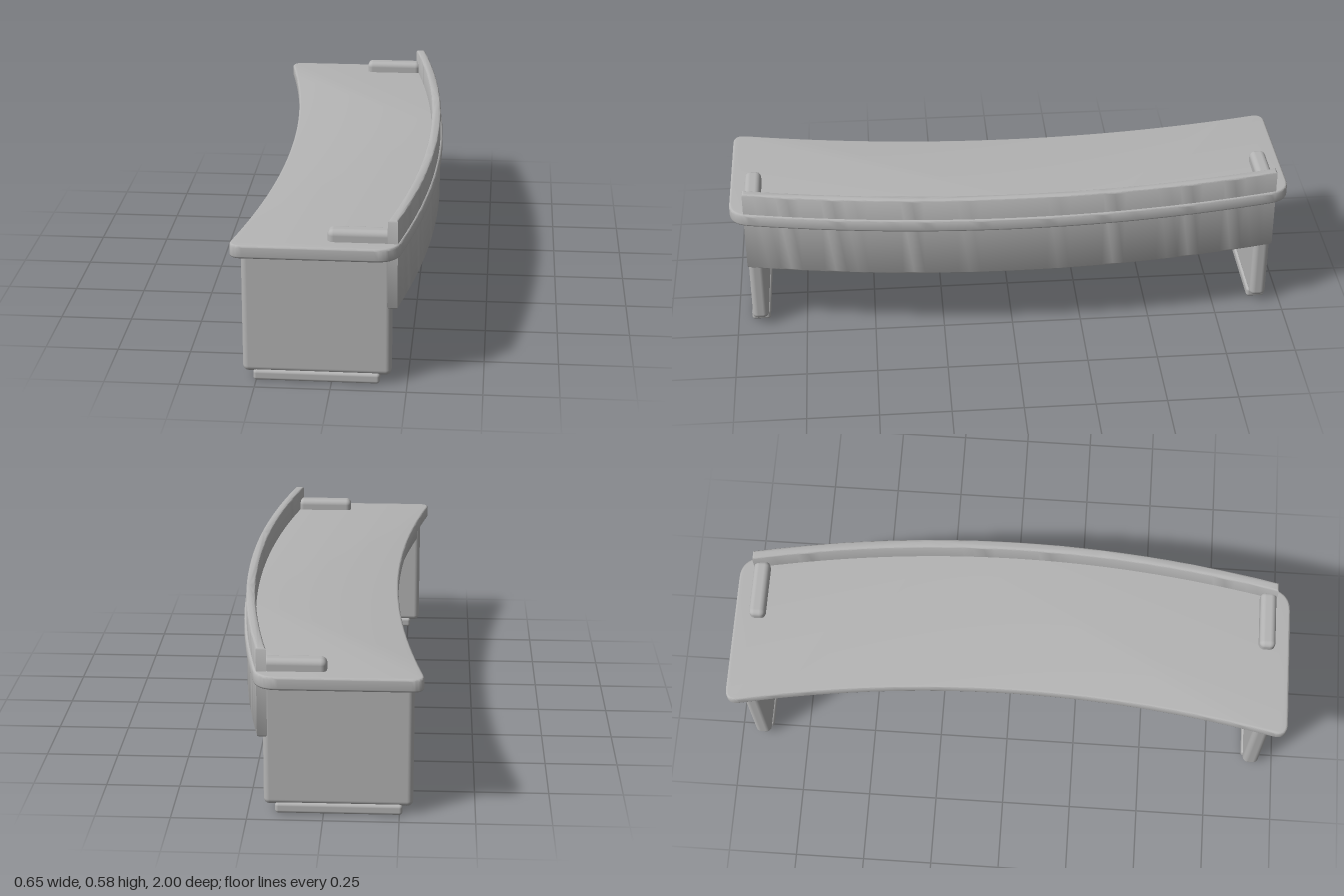
import * as THREE from 'three';
import { toCreasedNormals } from 'three/addons/utils/BufferGeometryUtils.js';
import { RoundedBoxGeometry } from 'three/addons/geometries/RoundedBoxGeometry.js';

const HALF = 0.948; // half length of the curved panel

// x of a curved edge that bows towards +x in the middle
const bow = (mid, z) => mid - 0.098 * (z / HALF) ** 2;

// Curved slab between two bowed edges, standing from y0 to y1
function curvedSlab({ inner, outer, half, y0, y1, bevel, rInner = 0, rOuter = 0 }) {
  const shape = new THREE.Shape();
  const steps = 48;
  const zo = half - rOuter, zi = half - rInner;
  shape.moveTo(bow(outer, zo), -zo);
  for (let i = 1; i <= steps; i++) {
    const z = -zo + (2 * zo * i) / steps;
    shape.lineTo(bow(outer, z), z);
  }
  if (rOuter) shape.quadraticCurveTo(bow(outer, half), half, bow(outer, half) - rOuter, half);
  if (rInner) {
    shape.lineTo(bow(inner, half) + rInner, half);
    shape.quadraticCurveTo(bow(inner, half), half, bow(inner, zi), zi);
  } else shape.lineTo(bow(inner, zi), zi);
  for (let i = 1; i <= steps; i++) {
    const z = zi - (2 * zi * i) / steps;
    shape.lineTo(bow(inner, z), z);
  }
  if (rInner) shape.quadraticCurveTo(bow(inner, half), -half, bow(inner, half) + rInner, -half);
  if (rOuter) {
    shape.lineTo(bow(outer, half) - rOuter, -half);
    shape.quadraticCurveTo(bow(outer, half), -half, bow(outer, zo), -zo);
  }
  const geo = new THREE.ExtrudeGeometry(shape, {
    depth: y1 - y0 - 2 * bevel,
    bevelThickness: bevel, bevelSize: bevel, bevelOffset: -bevel,
    bevelSegments: 4, curveSegments: 10,
  });
  geo.rotateX(-Math.PI / 2).translate(0, y0 + bevel, 0);
  return toCreasedNormals(geo, 0.6);
}

// Rounded box given by its limits
function block(x0, x1, y0, y1, z0, z1, radius) {
  const geo = new RoundedBoxGeometry(x1 - x0, y1 - y0, z1 - z0, 4, radius);
  return geo.translate((x0 + x1) / 2, (y0 + y1) / 2, (z0 + z1) / 2);
}

export function createModel() {
  const model = new THREE.Group();
  model.name = 'curvedDesk';
  const grey = new THREE.MeshStandardMaterial({ color: 0xb4b4b4 });
  grey.name = 'grey';

  const add = (name, geo) => {
    const mesh = new THREE.Mesh(geo, grey);
    mesh.name = name;
    model.add(mesh);
  };

  // Curved worktop with rounded corners
  add('tabletop', curvedSlab({
    inner: -0.225, outer: 0.322, half: 1, y0: 0.454, y1: 0.5,
    bevel: 0.008, rInner: 0.05, rOuter: 0.07,
  }));

  // Curved privacy panel along the outer edge
  add('frontPanel', curvedSlab({
    inner: 0.281, outer: 0.314, half: HALF, y0: 0.271, y1: 0.58, bevel: 0.008,
  }));

  // Low stiffening rail beneath the inner edge
  add('innerRail', curvedSlab({
    inner: -0.197, outer: -0.167, half: 0.9, y0: 0.378, y1: 0.46, bevel: 0.008,
  }));

  // Slab leg, foot and raised end stop at both ends
  for (const [side, s] of [['front', 1], ['back', -1]]) {
    const ends = (a, b) => (s > 0 ? [a, b] : [-b, -a]);
    add(side + 'Leg', block(-0.295, 0.198, 0.028, 0.48, ...ends(0.888, 0.946), 0.02));
    add(side + 'Foot', block(-0.26, 0.16, 0, 0.037, ...ends(0.883, 0.951), 0.011));
    add(side + 'EndStop', block(-0.012, 0.2, 0.465, 0.54, ...ends(0.888, 0.946), 0.02));
  }
  return model;
}
